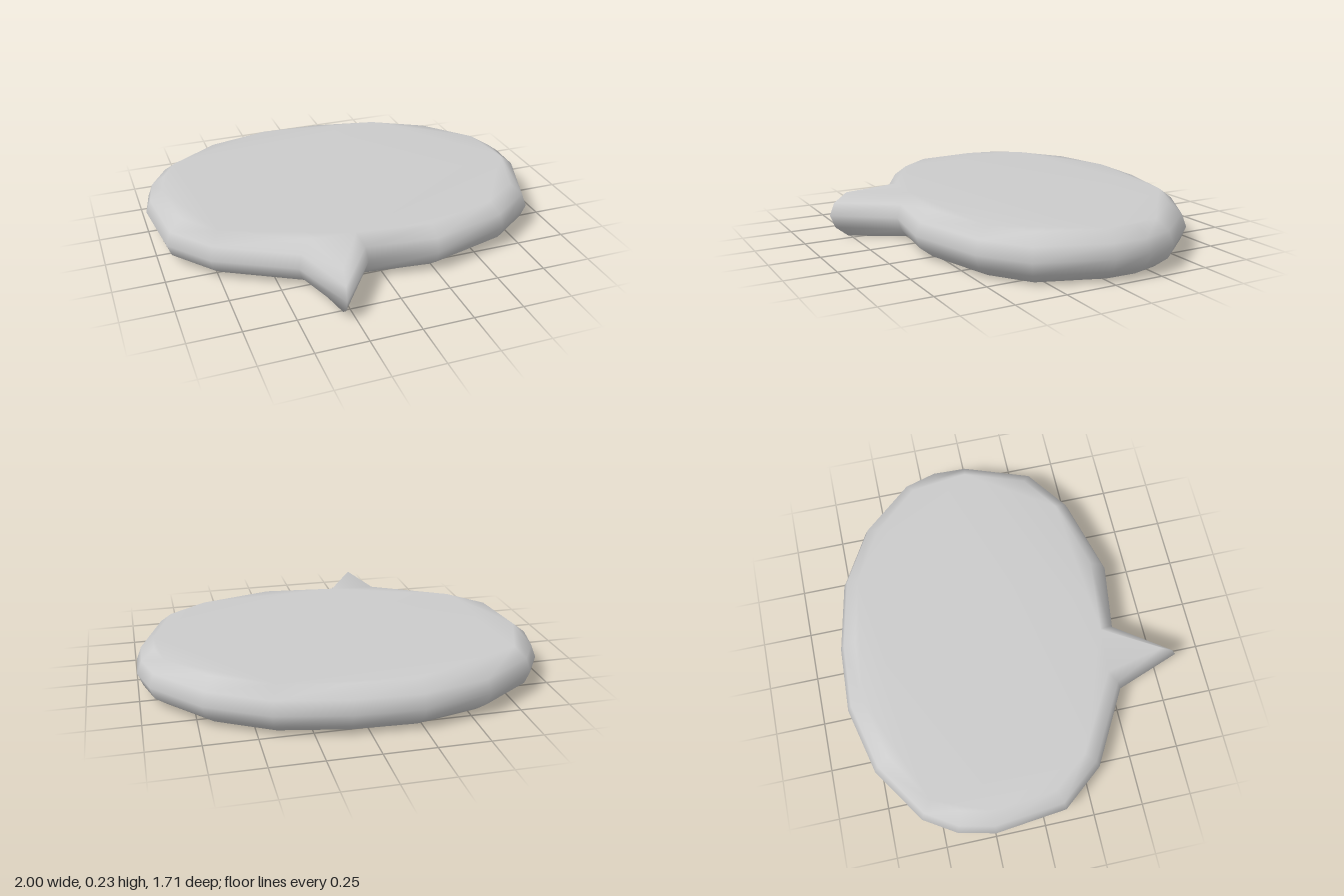
import * as THREE from 'three';

// Bubble outline as [x, z], counter-clockwise seen from above
const OUTLINE = [
  [-0.24, -0.857], [-0.58, -0.775], [-0.86, -0.59], [-0.96, -0.43], [-1, -0.25],
  [-0.96, 0.11], [-0.79, 0.32], [-0.42, 0.525],
  [-0.3, 0.85], // tail tip
  [-0.09, 0.568], [0.25, 0.615], [0.65, 0.505], [0.87, 0.345], [0.995, 0],
  [1, -0.18], [0.95, -0.35], [0.73, -0.605], [0.44, -0.77], [0.09, -0.842],
];

// Rounded rim as [inset, height], bottom to top
const RIM = [[0.09, 0], [0.025, 0.05], [0, 0.115], [0.025, 0.18], [0.09, 0.23]];

// Move every corner inward along its averaged edge normal
function insetRing(points, distance) {
  const n = points.length;
  return points.map((p, i) => {
    const before = p.clone().sub(points[(i + n - 1) % n]).normalize();
    const after = points[(i + 1) % n].clone().sub(p).normalize();
    const along = before.add(after).normalize();
    return new THREE.Vector2(p.x - along.y * distance, p.y + along.x * distance);
  });
}

function bubbleGeometry() {
  const points = OUTLINE.map(([x, z]) => new THREE.Vector2(x, -z));
  const n = points.length;
  const positions = [];
  const index = [];

  // Stacked rings form the rounded rim
  RIM.forEach(([inset, y], r) => {
    insetRing(points, inset).forEach((p) => positions.push(p.x, y, -p.y));
    if (r === 0) return;
    for (let i = 0; i < n; i++) {
      const a = (r - 1) * n + i;
      const b = (r - 1) * n + (i + 1) % n;
      index.push(a, b, b + n, a, b + n, a + n);
    }
  });

  // Flat faces above and below share the rim's corners for soft shading
  const top = (RIM.length - 1) * n;
  const cap = insetRing(points, RIM[0][0]);
  for (const [a, b, c] of THREE.ShapeUtils.triangulateShape(cap, [])) {
    index.push(top + a, top + b, top + c, c, b, a);
  }

  const geometry = new THREE.BufferGeometry();
  geometry.setAttribute('position', new THREE.Float32BufferAttribute(positions, 3));
  geometry.setIndex(index);
  geometry.computeVertexNormals();
  return geometry;
}

export function createModel() {
  const group = new THREE.Group();
  group.name = 'speechBubble';
  const body = new THREE.Mesh(bubbleGeometry(), new THREE.MeshStandardMaterial({ color: 0xcccccc }));
  body.name = 'bubbleBody';
  group.add(body);
  return group;
}
